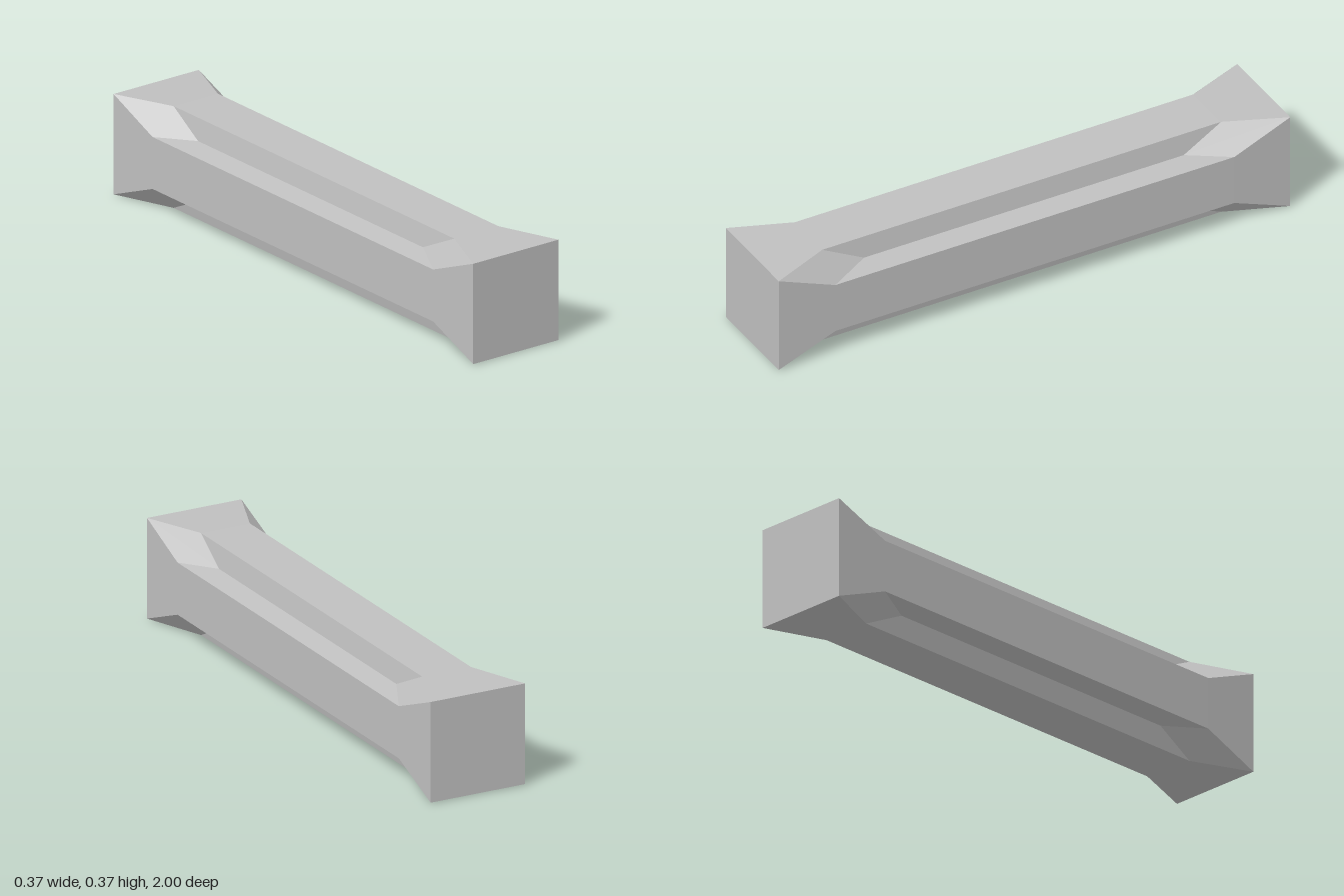
import * as THREE from 'three';

// Key points of one corner: end corner, upper rim, groove root, side rim
const POINTS = {
  corner: [0.1835, 0.1835, 1],
  rimA: [0.095, 0.186, 0.78],
  root: [0.11, 0.11, 0.625],
  rimB: [0.186, 0.095, 0.78],
};
const CENTRE_Y = 0.186;

// Point turned by k quarter turns about the long axis, at the front (s = 1) or back (s = -1)
function point(name, k, s) {
  let [x, y, z] = POINTS[name];
  for (let n = 0; n < k % 4; n++) [x, y] = [-y, x];
  return [x, y + CENTRE_Y, z * s];
}

// Flat-faced mesh from counterclockwise quads
function quadMesh(name, quads, material) {
  const positions = quads.flatMap(([a, b, c, d]) => [a, b, c, a, c, d].flat());
  const geometry = new THREE.BufferGeometry();
  geometry.setAttribute('position', new THREE.Float32BufferAttribute(positions, 3));
  geometry.computeVertexNormals();
  const mesh = new THREE.Mesh(geometry, material);
  mesh.name = name;
  return mesh;
}

// Lengthwise strip between two points, running from front to back
function strip(left, kl, right, kr) {
  return [point(left, kl, 1), point(right, kr, 1), point(right, kr, -1), point(left, kl, -1)];
}

export function createModel() {
  const group = new THREE.Group();
  group.name = 'groovedBeam';
  const grey = new THREE.MeshStandardMaterial({ color: 0xbfbfbf });
  grey.name = 'grey';

  for (let k = 0; k < 4; k++) {
    const p = (name, s, turn = 0) => point(name, k + turn, s);

    // Long face, flaring out to the full width at both ends
    group.add(quadMesh('longFace', [
      strip('rimB', k + 1, 'rimA', k),
      [p('corner', 1, 1), p('corner', 1), p('rimA', 1), p('rimB', 1, 1)],
      [p('rimB', -1, 1), p('rimA', -1), p('corner', -1), p('corner', -1, 1)],
    ], grey));

    // Groove cut into the long edge, with a sloped stop at each end
    group.add(quadMesh('edgeGroove', [
      strip('rimA', k, 'root', k),
      strip('root', k, 'rimB', k),
      [p('corner', 1), p('rimB', 1), p('root', 1), p('rimA', 1)],
      [p('corner', -1), p('rimA', -1), p('root', -1), p('rimB', -1)],
    ], grey));
  }

  // Square ends
  group.add(quadMesh('frontEnd', [[0, 1, 2, 3].map(k => point('corner', k, 1))], grey));
  group.add(quadMesh('backEnd', [[3, 2, 1, 0].map(k => point('corner', k, -1))], grey));
  return group;
}
